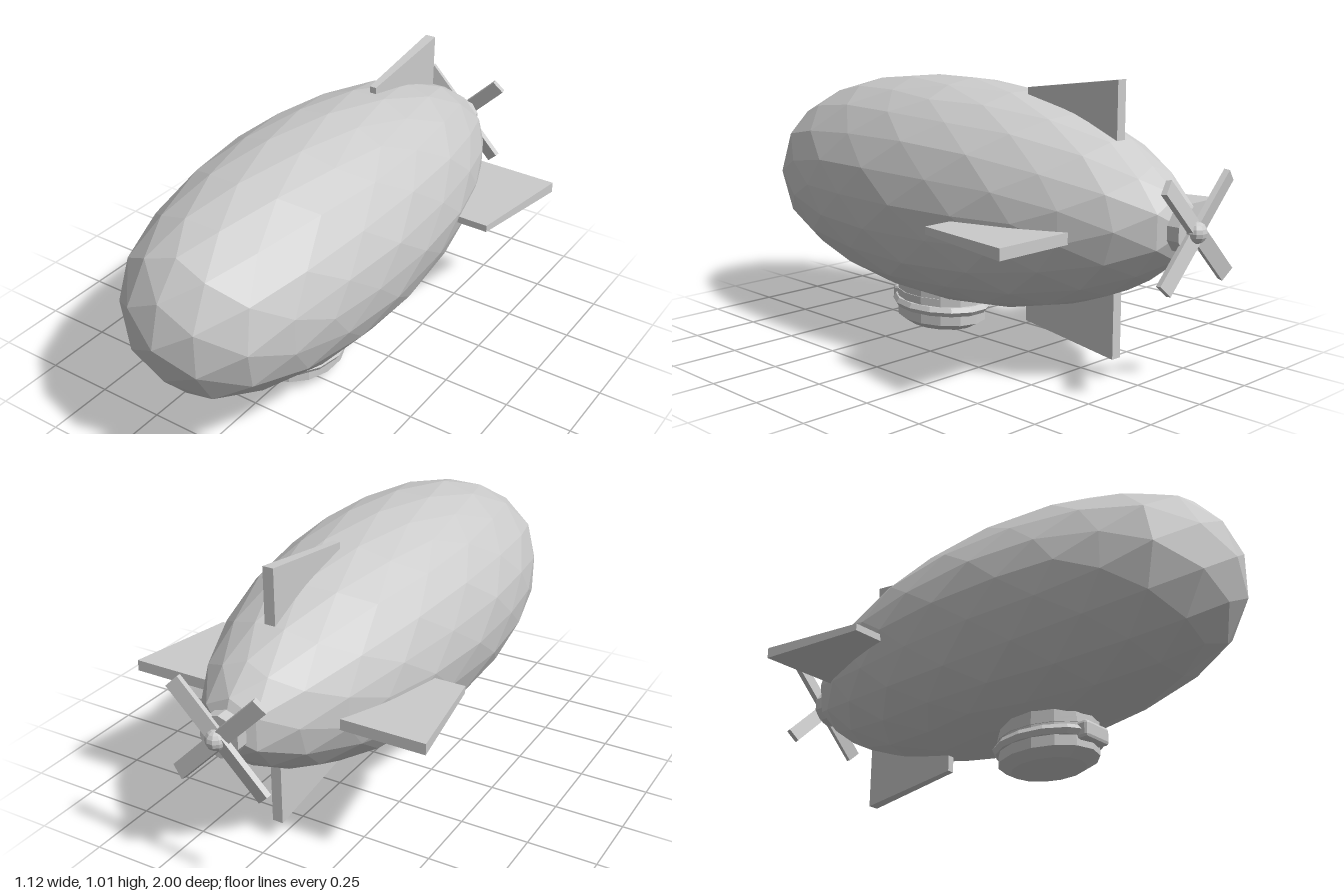
import * as THREE from 'three';
import { RoundedBoxGeometry } from 'three/addons/geometries/RoundedBoxGeometry.js';

const mat = new THREE.MeshStandardMaterial({ color: 0xcccccc, flatShading: true });
const AXIS_Y = 0.555;

function add(parent, name, geometry, x = 0, y = 0, z = 0) {
  const mesh = new THREE.Mesh(geometry, mat);
  mesh.name = name;
  mesh.position.set(x, y, z);
  parent.add(mesh);
  return mesh;
}

// Move every vertex of a geometry by a rule
function reshape(geometry, rule) {
  const pos = geometry.attributes.position;
  const v = new THREE.Vector3();
  for (let i = 0; i < pos.count; i++) {
    v.fromBufferAttribute(pos, i);
    rule(v);
    pos.setXYZ(i, v.x, v.y, v.z);
  }
  geometry.computeVertexNormals();
  return geometry;
}

// Hull radius along its length: [z, radius]
const PROFILE = [
  [-0.93, 0], [-0.92, 0.07], [-0.85, 0.145], [-0.74, 0.22], [-0.65, 0.265], [-0.43, 0.345],
  [-0.25, 0.385], [0.06, 0.415], [0.2, 0.415], [0.44, 0.395], [0.6, 0.365],
  [0.8, 0.3], [0.91, 0.23], [0.98, 0.11], [1, 0],
];

function hullRadius(z) {
  for (let i = 1; i < PROFILE.length; i++) {
    const [z0, r0] = PROFILE[i - 1], [z1, r1] = PROFILE[i];
    if (z <= z1) return r0 + (r1 - r0) * Math.max(0, (z - z0) / (z1 - z0));
  }
  return 0;
}

// Faceted balloon: a geodesic sphere stretched onto the profile
function hullGeometry() {
  return reshape(new THREE.IcosahedronGeometry(1, 3), (v) => {
    const flat = Math.hypot(v.x, v.y);
    const z = 0.035 + 0.965 * v.z;
    const k = flat > 1e-5 ? hullRadius(z) / flat : 0;
    v.set(v.x * k, v.y * k, z);
  });
}

// Tapered fin growing along +y, thicker and taller at its rear edge
function finGeometry(frontTip, rearTip) {
  return reshape(new THREE.BoxGeometry(1, 1, 1), (v) => {
    const rear = v.z < 0;
    const tip = rear ? rearTip : frontTip;
    v.set(v.x * (rear ? 0.04 : 0.026), v.y > 0 ? tip : 0.15, rear ? -0.655 : -0.25);
  });
}

export function createModel() {
  const model = new THREE.Group();
  model.name = 'airship';

  add(model, 'hull', hullGeometry(), 0, AXIS_Y, 0);

  // Tail fins
  const fins = [
    ['topFin', 0, 0.54, 0.415, 0.47], ['bottomFin', Math.PI, 0.54, 0.42, 0.47],
    ['leftFin', -Math.PI / 2, 0.525, 0.495, 0.56], ['rightFin', Math.PI / 2, 0.525, 0.495, 0.56],
  ];
  for (const [name, angle, y, front, rear] of fins) {
    add(model, name, finGeometry(front, rear), 0, y, 0).rotation.z = angle;
  }

  // Propeller with collar, hub and four diagonal blades
  const propeller = new THREE.Group();
  propeller.name = 'propeller';
  propeller.position.set(0, AXIS_Y, -0.96);
  model.add(propeller);
  const collar = new THREE.CylinderGeometry(0.075, 0.075, 0.045, 10).rotateX(Math.PI / 2);
  add(propeller, 'collar', collar, 0, 0, 0.033);
  add(propeller, 'hub', new THREE.SphereGeometry(0.036, 10, 8), 0, 0, -0.004);
  for (let i = 0; i < 4; i++) {
    const blade = new THREE.BoxGeometry(0.055, 0.23, 0.02).rotateY(0.2).translate(0, 0.115, 0);
    add(propeller, 'blade', blade, -0.008).rotation.z = Math.PI / 4 + (i * Math.PI) / 2;
  }

  // Oval gondola with rounded belly, bumper ring and front block
  const gondola = new THREE.Group();
  gondola.name = 'gondola';
  gondola.position.z = 0.21;
  model.add(gondola);
  const bodyProfile = [[0, 0], [0.055, 0.003], [0.11, 0.018], [0.148, 0.045], [0.148, 0.2], [0, 0.2]]
    .map(([r, y]) => new THREE.Vector2(r, y));
  add(gondola, 'cabin', new THREE.LatheGeometry(bodyProfile, 14).scale(1, 1, 1.29));
  const ring = new THREE.TorusGeometry(0.145, 0.02, 6, 14).rotateX(Math.PI / 2).scale(1, 1, 1.29);
  add(gondola, 'bumperRing', ring, 0, 0.1, 0);
  const upperRim = new THREE.CylinderGeometry(0.151, 0.151, 0.02, 14).scale(1, 1, 1.29);
  add(gondola, 'upperRim', upperRim, 0, 0.138, 0);
  add(gondola, 'frontBlock', new RoundedBoxGeometry(0.125, 0.064, 0.05, 1, 0.012), 0, 0.1, 0.19);

  return model;
}
